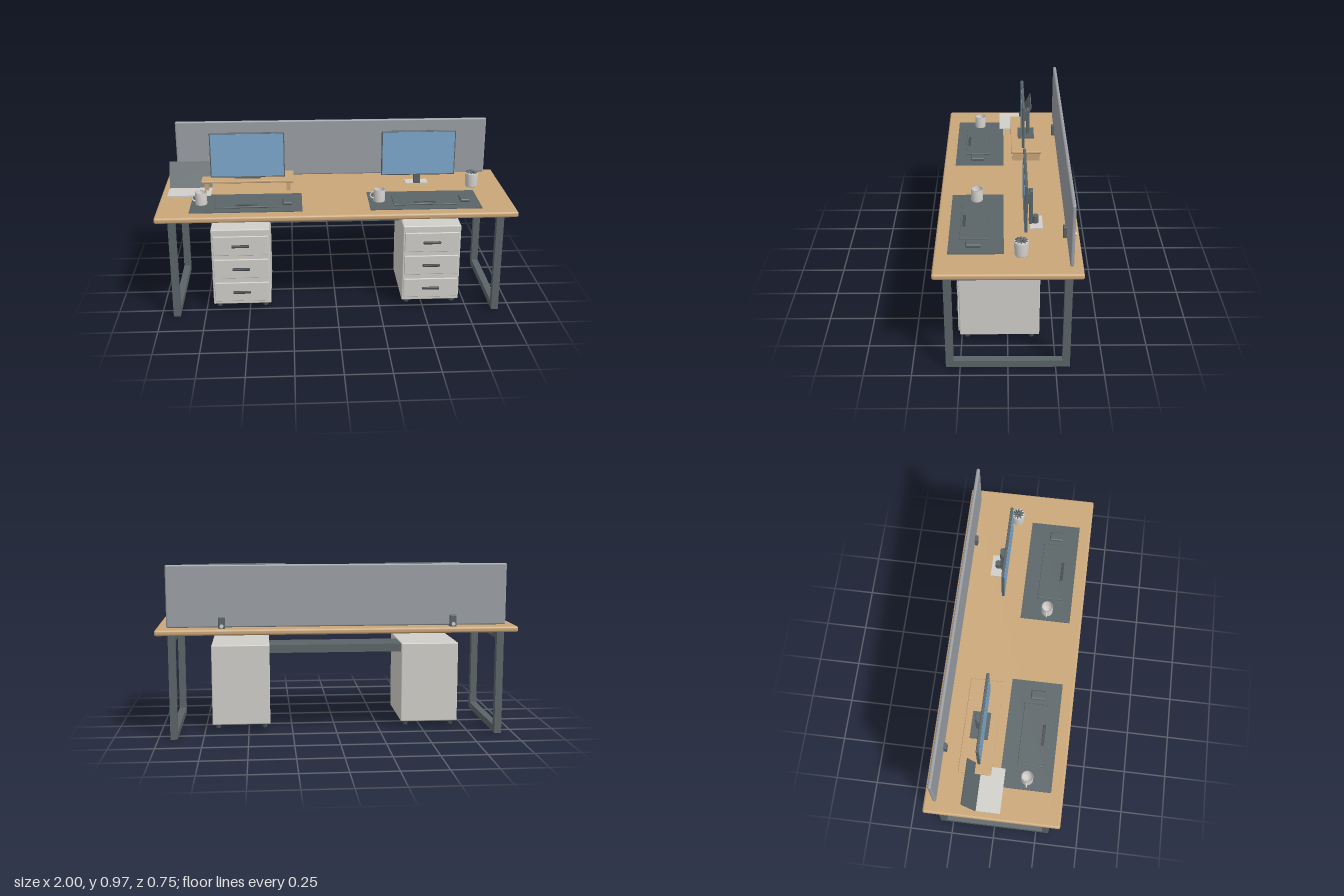
import * as THREE from 'three';
import { RoundedBoxGeometry } from 'three/addons/geometries/RoundedBoxGeometry.js';

const mat = (name, color, side = THREE.FrontSide) => {
  const m = new THREE.MeshStandardMaterial({ color, side });
  m.name = name;
  return m;
};

export function createModel() {
  const wood = mat('wood', 0xcaa679);
  const metal = mat('dark metal', 0x5a6467);
  const black = mat('black plastic', 0x454b4e);
  const light = mat('light grey', 0xd0cec9);
  const fabric = mat('divider grey', 0x9a9ea3);
  const blue = mat('display blue', 0x7ba7cc);
  const ceramic = mat('ceramic', 0xd6d3cf, THREE.DoubleSide);

  const root = new THREE.Group();
  root.name = 'doubleDesk';

  const add = (parent, name, geo, material, x = 0, y = 0, z = 0) => {
    const m = new THREE.Mesh(geo, material);
    m.name = name;
    m.position.set(x, y, z);
    parent.add(m);
    return m;
  };
  // Box given by its low and high corner; r rounds the edges
  const box = (parent, name, material, [x0, x1], [y0, y1], [z0, z1], r = 0) => {
    const s = [x1 - x0, y1 - y0, z1 - z0];
    const geo = r ? new RoundedBoxGeometry(...s, 3, r) : new THREE.BoxGeometry(...s);
    return add(parent, name, geo, material, (x0 + x1) / 2, (y0 + y1) / 2, (z0 + z1) / 2);
  };
  const group = (name, x = 0) => {
    const g = new THREE.Group();
    g.name = name;
    g.position.x = x;
    root.add(g);
    return g;
  };

  // Worktop, centre rail and cable tray
  box(root, 'worktop', wood, [-1, 1], [0.587, 0.62], [-0.375, 0.375], 0.012);
  box(root, 'centreRail', metal, [-0.89, 0.89], [0.545, 0.587], [-0.02, 0.03]);
  box(root, 'cableTray', metal, [-0.378, 0.378], [0.45, 0.495], [-0.15, 0.04]);

  // Closed loop leg frames
  for (const s of [-1, 1]) {
    const shape = new THREE.Shape();
    shape.moveTo(-0.325, 0).lineTo(0.325, 0).lineTo(0.325, 0.587).lineTo(-0.325, 0.587).closePath();
    const hole = new THREE.Path();
    hole.moveTo(-0.285, 0.04).lineTo(-0.285, 0.545).lineTo(0.285, 0.545).lineTo(0.285, 0.04).closePath();
    shape.holes.push(hole);
    const geo = new THREE.ExtrudeGeometry(shape, { depth: 0.04, bevelEnabled: false });
    geo.translate(0, 0, -0.02).rotateY(Math.PI / 2);
    add(root, 'legFrame', geo, metal, s * 0.912, 0, 0);
  }

  // Drawer pedestals on castors
  for (const s of [-1, 1]) {
    const g = group('pedestal', s * 0.5425);
    box(g, 'cabinet', light, [-0.165, 0.165], [0.04, 0.5], [-0.172, 0.26], 0.006);
    for (const y of [0.118, 0.262, 0.403]) {
      box(g, 'drawerFront', light, [-0.155, 0.155], [y - 0.058, y + 0.058], [0.255, 0.268], 0.004);
      box(g, 'drawerHandle', black, [-0.05, 0.05], [y - 0.007, y + 0.007], [0.266, 0.281], 0.004);
    }
    for (const x of [-0.133, 0.133]) for (const z of [-0.13, 0.22])
      add(g, 'castor', new THREE.CylinderGeometry(0.014, 0.014, 0.026, 16), black, x, 0.027, z);
  }

  // Divider panel and its clamps
  box(root, 'divider', fabric, [-0.938, 0.938], [0.625, 0.968], [-0.326, -0.306], 0.009);
  for (const s of [-1, 1]) {
    const g = group('dividerClamp', s * 0.638);
    box(g, 'clampBody', metal, [-0.018, 0.018], [0.615, 0.683], [-0.345, -0.288], 0.003);
    const knob = add(g, 'clampKnob', new THREE.CylinderGeometry(0.01, 0.01, 0.014, 16), light, 0, 0.635, -0.352);
    knob.rotation.x = Math.PI / 2;
  }

  // Monitors: casing, display plate, neck and base
  const monitor = (name, x, z, deskY, neckTop, neckZ, baseMat, [bw, bz0, bz1]) => {
    const g = group(name, x);
    box(g, 'casing', metal, [-0.217, 0.217], [0.688, 0.957], [z - 0.016, z], 0.004);
    box(g, 'display', blue, [-0.211, 0.211], [0.695, 0.951], [z - 0.001, z + 0.001]);
    box(g, 'neck', metal, [-0.02, 0.02], [deskY + 0.005, neckTop], [neckZ - 0.02, neckZ], 0.003);
    box(g, 'mount', metal, [-0.03, 0.03], [neckTop - 0.07, neckTop - 0.01], [neckZ - 0.005, z - 0.014]);
    box(g, 'base', baseMat, [-bw, bw], [deskY, deskY + 0.007], [bz0, bz1]);
    return g;
  };
  monitor('leftHandMonitor', -0.503, -0.092, 0.688, 0.855, -0.122, metal, [0.077, -0.17, -0.07]);
  const arm = monitor('rightHandMonitor', 0.498, -0.085, 0.62, 0.823, -0.114, light, [0.067, -0.187, -0.118]);
  add(arm, 'post', new THREE.CylinderGeometry(0.018, 0.018, 0.045, 24), metal, 0, 0.645, -0.148);

  // Monitor riser
  const riser = group('riser', -0.504);
  box(riser, 'riserShelf', wood, [-0.268, 0.268], [0.673, 0.688], [-0.208, -0.027], 0.004);
  for (const s of [-1, 1])
    box(riser, 'riserLeg', wood, [s * 0.238 - 0.011, s * 0.238 + 0.011], [0.62, 0.675], [-0.2, -0.037]);

  // Laptop with tilted lid
  const laptop = group('laptop', -0.837);
  box(laptop, 'laptopBase', light, [-0.125, 0.125], [0.62, 0.629], [-0.09, 0.045]);
  const lid = new THREE.BoxGeometry(0.25, 0.157, 0.006).translate(0, 0.0785, 0);
  add(laptop, 'laptopLid', lid, metal, 0, 0.628, -0.09).rotation.x = -0.46;

  // Mug: open wall plus handle
  const mugProfile = [[0, 0], [0.03, 0], [0.033, 0.004], [0.033, 0.072], [0.029, 0.072], [0.029, 0.008], [0, 0.008]]
    .map(([r, y]) => new THREE.Vector2(r, y));

  // Desk mat, keyboard, mouse and mug for each seat
  for (const x of [-0.503, 0.498]) {
    const g = group('workplace', x);
    box(g, 'deskMat', metal, [-0.312, 0.312], [0.62, 0.624], [0.02, 0.306]);
    box(g, 'keyboard', metal, [-0.178, 0.178], [0.624, 0.633], [0.105, 0.25], 0.003);
    box(g, 'spaceBar', black, [-0.06, 0.06], [0.631, 0.637], [0.222, 0.238], 0.002);
    box(g, 'mouse', metal, [0.203, 0.257], [0.624, 0.642], [0.135, 0.217], 0.008);
    add(g, 'mug', new THREE.LatheGeometry(mugProfile, 32), ceramic, -0.253, 0.622, 0.168);
    add(g, 'mugHandle', new THREE.TorusGeometry(0.018, 0.004, 8, 20, Math.PI), ceramic, -0.285, 0.66, 0.168)
      .rotation.z = Math.PI / 2;
  }

  // Potted succulent
  const plant = group('pottedPlant', 0.816);
  const potProfile = [[0, 0], [0.031, 0], [0.034, 0.005], [0.038, 0.078], [0.034, 0.084], [0, 0.084]]
    .map(([r, y]) => new THREE.Vector2(r, y));
  add(plant, 'pot', new THREE.LatheGeometry(potProfile, 32), ceramic, 0, 0.62, -0.068);
  for (let i = 0; i < 10; i++) {
    const a = (i / 10) * Math.PI * 2;
    const leaf = add(plant, 'leaf', new THREE.SphereGeometry(1, 10, 8), metal,
      Math.cos(a) * 0.021, 0.706, -0.068 + Math.sin(a) * 0.021);
    leaf.scale.set(0.015, 0.008, 0.005);
    leaf.rotation.set(0, -a, -0.35, 'YXZ');
  }
  add(plant, 'leafCore', new THREE.SphereGeometry(0.01, 12, 8), metal, 0, 0.71, -0.068);

  return root;
}
